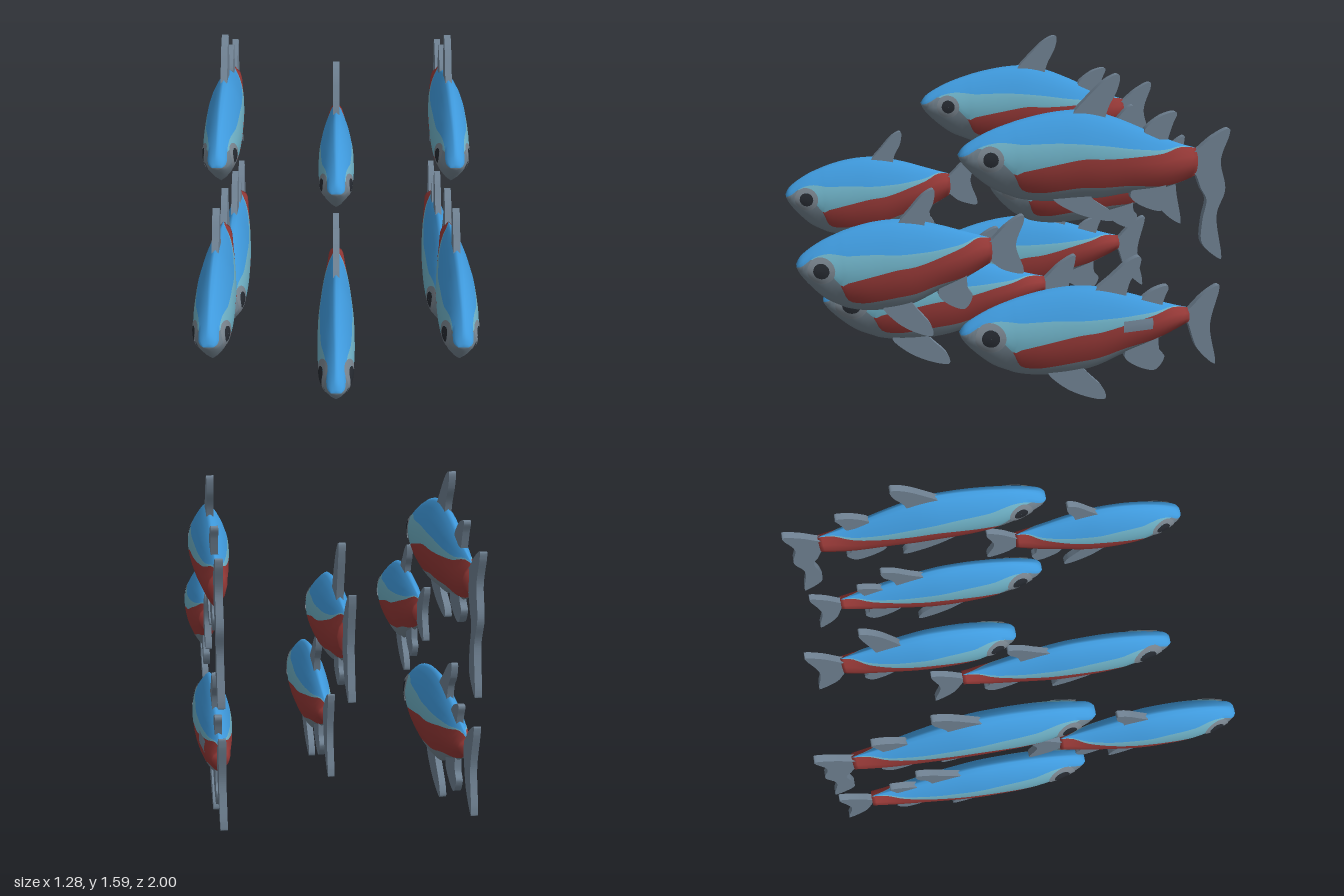
import * as THREE from 'three';
import { mergeVertices } from 'three/addons/utils/BufferGeometryUtils.js';

const mat = (name, color, side = THREE.FrontSide) => {
  const m = new THREE.MeshStandardMaterial({ color, side });
  m.name = name;
  return m;
};

// Body stations: s along the body, top, bottom, width,
// then colour borders (0 = belly line, 1 = back line): blue/teal, teal/red, red/grey
const KEYS = [
  [0, 0.16, 0.08, 0.25, 0.5, 0.5, 0.5],
  [0.02, 0.32, -0.09, 0.47, 0.6, 0.6, 0.6],
  [0.07, 0.49, -0.36, 0.68, 0.78, 0.78, 0.78],
  [0.14, 0.66, -0.65, 0.85, 0.81, 0.6, 0.6],
  [0.21, 0.78, -0.82, 0.93, 0.76, 0.36, 0.36],
  [0.25, 0.84, -0.9, 0.97, 0.73, 0.4, 0.15],
  [0.32, 0.92, -0.97, 1, 0.71, 0.44, 0.12],
  [0.4, 0.98, -1, 1, 0.69, 0.47, 0.14],
  [0.5, 1, -0.98, 0.98, 0.66, 0.5, 0.16],
  [0.6, 0.93, -0.89, 0.9, 0.66, 0.51, 0.15],
  [0.72, 0.76, -0.65, 0.78, 0.68, 0.57, 0.13],
  [0.845, 0.54, -0.43, 0.62, 0.78, 0.72, 0.07],
  [0.93, 0.4, -0.24, 0.52, 0.95, 0.93, 0.02],
  [1, 0.3, -0.07, 0.42, 1, 1, 0],
];
const HALF_WIDTH = 0.091, SUB = 3, ROWS = 4, FIN = 0.032;

// The five fish of the school; dTop and dBot bend the tail root
const FISH = {
  upper: { z0: 0.27, L: 1.11, y: 1.23, h: 0.21, dTop: -0.28, dBot: -0.55, eye: 0.058, dorsal: -0.1, dorsalH: 1.04,
    pelvic: 0.01, pelvicH: 0.8, adipose: true, tipZ: -0.995, up: 1.32, low: 0.69, longTail: true },
  front: { z0: 1, L: 0.875, y: 0.768, h: 0.213, dTop: 0.15, dBot: -0.04, eye: 0.06, dorsal: -0.05, dorsalH: 0.97,
    pelvic: 0.05, pelvicH: 1, tipZ: -0.025, up: 0.965, low: 0.685 },
  lower: { z0: 0.27, L: 1.11, y: 0.378, h: 0.222, dTop: 0, dBot: 0, eye: 0.071, dorsal: 0.02, dorsalH: 0.94,
    pelvic: 0, pelvicH: 1, adipose: true, tipZ: -0.99, up: 0.55, low: 0.145 },
  middleLower: { z0: 0.86, L: 1.13, y: 0.378, h: 0.222, dTop: 0, dBot: 0, eye: 0.08, dorsal: 0.03, dorsalH: 0.95,
    pelvic: -0.08, pelvicH: 1, tipZ: -0.43, up: 0.55, low: 0.145 },
  middleUpper: { z0: 0.015, L: 0.855, y: 0.927, h: 0.195, dTop: 0.18, dBot: -0.32, eye: 0.058, dorsal: 0.1, dorsalH: 1.22,
    pelvic: 0, pelvicH: 0, tipZ: -0.99, up: 1.15, low: 0.69 },
};

// Smooth stations for one fish, in model units
function makeStations(p) {
  const n = KEYS.length - 1;
  const cols = KEYS[0].map((_, c) => new THREE.SplineCurve(KEYS.map((k) => new THREE.Vector2(k[0], k[c]))));
  const out = [];
  for (let i = 0; i <= n * SUB; i++) {
    const [s, top, bot, w, b, t, r] = cols.map((c) => c.getPoint(i / (n * SUB)).y);
    const bend = THREE.MathUtils.smoothstep(s, 0.45, 1);
    const blue = THREE.MathUtils.clamp(b, 0, 1);
    const teal = THREE.MathUtils.clamp(t, 0, blue);
    out.push({
      s, z: p.z0 - s * p.L, w: w * HALF_WIDTH,
      top: p.y + p.h * (top + p.dTop * bend), bot: p.y + p.h * (bot + p.dBot * bend),
      blue, teal, red: THREE.MathUtils.clamp(r, 0, teal),
    });
  }
  return out;
}

const bulge = (f) => Math.pow(Math.max(0, Math.sin(Math.PI * f)), 0.75);

// Lens-shaped body, with one geometry group per colour band
function bodyGeometry(stations) {
  const cap = (st) => ({ ...st, w: 0, top: (st.top + st.bot) / 2, bot: (st.top + st.bot) / 2 });
  const rings = [cap(stations[0]), ...stations, cap(stations.at(-1))];
  const pos = [], bands = [[], [], [], []], cols = ROWS * 4 + 1;
  for (const side of [1, -1]) {
    const base = pos.length / 3;
    rings.forEach((r) => {
      const edges = [1, r.blue, r.teal, r.red, 0];
      for (let j = 0; j < cols; j++) {
        const band = Math.min(3, Math.floor(j / ROWS)), k = j / ROWS - band;
        let f = THREE.MathUtils.lerp(edges[band], edges[band + 1], k);
        if (band === 0) f = 1 - (1 - r.blue) * Math.pow(k, 1.6);
        if (band === 3) f = r.red * Math.pow(1 - k, 1.6);
        pos.push(side * r.w * bulge(f), THREE.MathUtils.lerp(r.bot, r.top, f), r.z);
      }
    });
    for (let i = 0; i < rings.length - 1; i++) {
      for (let j = 0; j < cols - 1; j++) {
        const a = base + i * cols + j, b = a + cols, c = a + 1, d = b + 1;
        bands[Math.floor(j / ROWS)].push(...(side > 0 ? [a, c, b, b, c, d] : [a, b, c, b, d, c]));
      }
    }
  }
  let geo = new THREE.BufferGeometry();
  geo.setAttribute('position', new THREE.Float32BufferAttribute(pos, 3));
  geo.setIndex(bands.flat());
  geo = mergeVertices(geo, 1e-4);
  geo.clearGroups();
  let start = 0;
  bands.forEach((b, i) => { geo.addGroup(start, b.length, i); start += b.length; });
  geo.computeVertexNormals();
  return geo;
}

// Lays a flat geometry onto the flank of the body
function hug(geo, stations, z, y, side, lift) {
  const a = geo.attributes.position;
  for (let i = 0; i < a.count; i++) {
    const pz = z - a.getX(i), py = y + a.getY(i);
    let k = stations.findIndex((st) => st.z <= pz);
    k = k < 1 ? 1 : k;
    const p = stations[k - 1], q = stations[k], u = (p.z - pz) / (p.z - q.z);
    const mix = (key) => THREE.MathUtils.lerp(p[key], q[key], u);
    const f = THREE.MathUtils.clamp((py - mix('bot')) / (mix('top') - mix('bot')), 0, 1);
    a.setXYZ(i, side * (mix('w') * bulge(f) + lift), py, pz);
  }
  geo.computeVertexNormals();
  return geo;
}

// Thin upright fin from outline points [z, y]; the first and last lie inside the body
function finGeometry(points) {
  const v = points.map(([z, y]) => new THREE.Vector2(-z, y));
  const shape = new THREE.Shape().moveTo(v[0].x, v[0].y);
  shape.splineThru(v.slice(1));
  shape.closePath();
  const geo = new THREE.ExtrudeGeometry(shape, { depth: FIN, bevelEnabled: false, curveSegments: 18 });
  return geo.translate(0, 0, -FIN / 2).rotateY(Math.PI / 2);
}

function tailPoints(p) {
  const zr = p.z0 - p.L, top = p.y + p.h * (0.26 + p.dTop), bot = p.y + p.h * (-0.03 + p.dBot);
  const span = p.tipZ - zr;
  const upper = [[zr + 0.03, top - 0.01], [zr, top], [zr + span * 0.45, top + (p.up - top) * 0.6],
    [p.tipZ + 0.01, p.up], [p.tipZ, p.up - 0.03]];
  if (p.longTail) {
    return [...upper, [-0.96, 1.17], [-0.99, 1.03], [-0.955, 0.9], [-0.99, 0.71], [-0.975, 0.69], [-0.89, 0.77],
      [-0.885, 0.88], [-0.9, 0.98], [-0.87, 1.04], [zr, bot], [zr + 0.03, bot + 0.01]];
  }
  return [...upper, [p.tipZ + 0.035, (p.up + p.low) / 2], [p.tipZ, p.low + 0.03], [p.tipZ + 0.01, p.low],
    [zr + span * 0.35, bot + (p.low - bot) * 0.6], [zr, bot], [zr + 0.03, bot + 0.01]];
}

export function createModel() {
  const blue = mat('backBlue', 0x3f9add), teal = mat('stripeTeal', 0x6dafc4), red = mat('flankRed', 0x963937);
  const grey = mat('bellyGrey', 0x72828e), fin = mat('finGrey', 0x6f8192, THREE.DoubleSide);
  const ringMat = mat('eyeRingGrey', 0x78838d, THREE.DoubleSide), black = mat('pupilBlack', 0x262a31, THREE.DoubleSide);

  function makeFish(p, patch) {
    const fish = new THREE.Group(), stations = makeStations(p);
    const add = (name, geo, material) => {
      const mesh = new THREE.Mesh(geo, material);
      mesh.name = name;
      fish.add(mesh);
    };
    const addFin = (name, pts, ds = 0, dv = 0) =>
      add(name, finGeometry(pts.map(([s, v]) => [p.z0 - (s + ds) * p.L, p.y + (v + dv) * p.h])), fin);
    add('body', bodyGeometry(stations), [blue, teal, red, grey]);

    // Eyes on both flanks
    const ez = p.z0 - 0.118 * p.L, ey = p.y + 0.08 * p.h, er = p.eye * 0.58;
    for (const side of [1, -1]) {
      add('eyeRing', hug(new THREE.RingGeometry(er, p.eye, 24, 3), stations, ez, ey, side, 0.004), ringMat);
      add('pupil', hug(new THREE.RingGeometry(0.001, er, 24, 3), stations, ez, ey, side, 0.005), black);
    }

    // Fins
    const k = p.dorsalH;
    addFin('dorsalFin', [[0.57, 0.6], [0.55, 0.82], [0.63, 1.25 * k], [0.69, 1.53 * k], [0.74, 1.66 * k], [0.757, 1.6 * k],
      [0.745, 1.32 * k], [0.71, 1], [0.69, 0.55]], p.dorsal);
    if (p.adipose) addFin('adiposeFin', [[0.78, 0.3], [0.77, 0.5], [0.83, 0.76], [0.89, 0.86], [0.905, 0.8], [0.89, 0.6], [0.87, 0.25]]);
    if (p.pelvicH) {
      const low = (v) => -0.9 + (v + 0.9) * p.pelvicH;
      addFin('pelvicFin', [[0.42, -0.8], [0.38, -0.95], [0.456, low(-1.32)], [0.55, low(-1.57)], [0.635, low(-1.67)],
        [0.625, low(-1.4)], [0.56, -1.05], [0.52, -0.8]], p.pelvic);
    }
    addFin('analFin', [[0.74, -0.4], [0.72, -0.72], [0.78, -0.97], [0.86, -1.08], [0.9, -0.8], [0.875, -0.6], [0.87, -0.25]], 0, p.dBot * 0.5);
    add('tailFin', finGeometry(tailPoints(p)), fin);

    // Grey mark on one flank
    if (patch) {
      add('flankMark', hug(new THREE.PlaneGeometry(0.15, 0.055, 8, 3), stations,
        p.z0 - 0.76 * p.L, p.y + 0.1 * p.h, 1, 0.004), fin);
    }
    return fish;
  }

  const model = new THREE.Group();
  model.name = 'fishSchool';
  const place = (key, x, name) => {
    const fish = makeFish(FISH[key], key === 'lower' && x > 0);
    fish.name = name;
    fish.position.x = x;
    model.add(fish);
  };
  for (const x of [0.55, -0.55]) {
    for (const key of ['upper', 'front', 'lower']) place(key, x, key + (x > 0 ? 'LeftFish' : 'RightFish'));
  }
  place('middleLower', 0, 'middleLowerFish');
  place('middleUpper', 0, 'middleUpperFish');
  return model;
}
